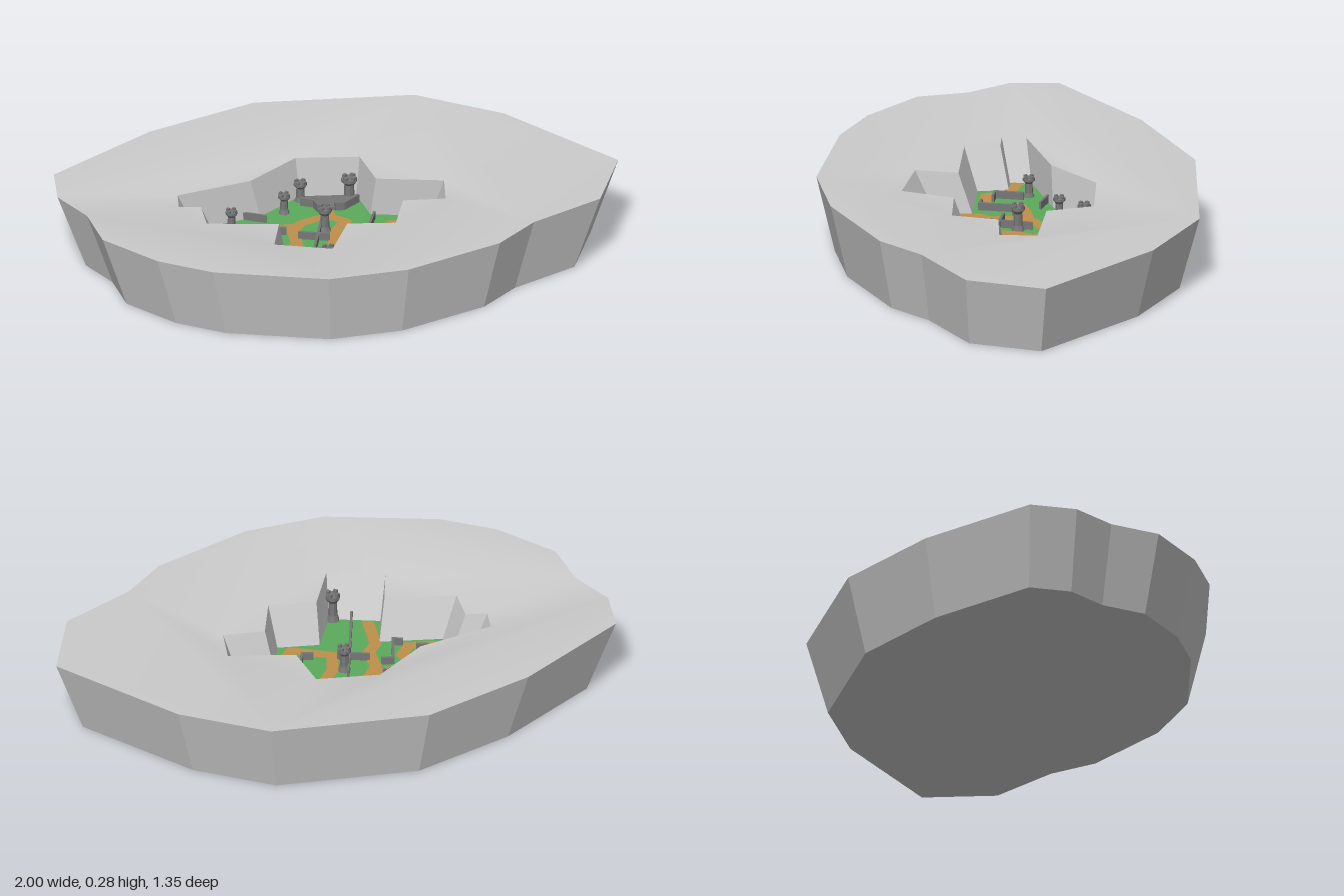
import * as THREE from 'three';

const TOP = 0.275, LIP = 0.235, FLOOR = 0.088;
const mat = (color, extra = {}) => new THREE.MeshStandardMaterial({ color, flatShading: true, ...extra });
const rock = mat(0xcccccc);
const softRock = mat(0xcccccc, { flatShading: false });
const stone = mat(0x777777);
const grass = mat(0x5cab5c);
const dirt = mat(0xbf8f4c, { side: THREE.DoubleSide });

// Plan outlines as [x, z], clockwise seen from above
const RIM = [[-0.2, -0.675], [0.37, -0.64], [0.66, -0.45], [1, -0.04], [0.89, 0.235], [0.63, 0.37],
  [0.485, 0.505], [0.135, 0.648], [-0.155, 0.673], [-0.55, 0.555], [-0.73, 0.44], [-0.895, 0.25],
  [-0.92, 0.065], [-1, -0.09], [-0.985, -0.26], [-0.6, -0.52]];
const PIT = [[-0.11, -0.316], [0.115, -0.288], [0.145, -0.117], [0.38, -0.064], [0.363, 0.07], [0.213, 0.06],
  [0.16, 0.22], [-0.01, 0.198], [-0.092, 0.376], [-0.29, 0.311], [-0.248, 0.161], [-0.5, 0.118],
  [-0.5, -0.01], [-0.577, -0.022], [-0.567, -0.108], [-0.295, -0.172]];
const BASE = RIM.map(([x, z]) => [x * 0.9, z * 0.9 + 0.004]);
const MEADOW = PIT.map(([x, z]) => [x * 0.88, -0.2 + (z + 0.2) * 0.87]);

function mesh(name, geometry, material) {
  const m = new THREE.Mesh(geometry, material);
  m.name = name;
  return m;
}

// Flat face looking up (or down) at height y
function plate(outline, y, hole, down = false) {
  const pts = (o) => o.map(([x, z]) => new THREE.Vector2(x, down ? z : -z));
  const shape = new THREE.Shape(pts(outline));
  if (hole) shape.holes.push(new THREE.Path(pts(hole)));
  return new THREE.ShapeGeometry(shape).rotateX(down ? Math.PI / 2 : -Math.PI / 2).translate(0, y, 0);
}

// Ground that sinks gently from the rim to the lip of the pit
function slopingGround() {
  const g = plate(RIM, TOP, PIT);
  const p = g.attributes.position;
  for (let i = RIM.length; i < p.count; i++) p.setY(i, LIP);
  g.computeVertexNormals();
  return g;
}

// Band of quads joining two outlines; faces inward when the first is the higher
function band(a, ya, b, yb) {
  const p = [];
  a.forEach((a0, i) => {
    const j = (i + 1) % a.length, a1 = a[j], b0 = b[i], b1 = b[j];
    for (const [q, y] of [[a1, ya], [a0, ya], [b0, yb], [a1, ya], [b0, yb], [b1, yb]]) p.push(q[0], y, q[1]);
  });
  const g = new THREE.BufferGeometry();
  g.setAttribute('position', new THREE.Float32BufferAttribute(p, 3));
  g.computeVertexNormals();
  return g;
}

// Flat mitred ribbon along a path
function ribbon(path, width, y) {
  const v = path.map(([x, z]) => new THREE.Vector2(x, z));
  const left = [], right = [];
  v.forEach((p, i) => {
    const d0 = p.clone().sub(v[Math.max(i - 1, 0)]).normalize();
    const d1 = v[Math.min(i + 1, v.length - 1)].clone().sub(p).normalize();
    const d = d0.clone().add(d1).normalize();
    const r = width / 2 / Math.max(0.7, d.dot(i ? d0 : d1));
    left.push([p.x - d.y * r, p.y + d.x * r]);
    right.push([p.x + d.y * r, p.y - d.x * r]);
  });
  return plate([...left, ...right.reverse()], y);
}

// Thin straight walls along a path
function fence(name, path, height, thick) {
  const g = new THREE.Group();
  g.name = name;
  for (let i = 0; i < path.length - 1; i++) {
    const [x0, z0] = path[i], [x1, z1] = path[i + 1];
    const m = mesh('wallSegment', new THREE.BoxGeometry(Math.hypot(x1 - x0, z1 - z0) + thick, height, thick), stone);
    m.position.set((x0 + x1) / 2, FLOOR + height / 2, (z0 + z1) / 2);
    m.rotation.y = -Math.atan2(z1 - z0, x1 - x0);
    g.add(m);
  }
  return g;
}

// Round watchtower with a flared, notched head
function tower(x, z, r, h) {
  const g = new THREE.Group();
  g.name = 'tower';
  const profile = [[0, 0], [0.95, 0], [0.65, 0.2], [0.6, 0.65], [1, 0.78], [1, 0.9], [0, 0.9]]
    .map(([a, b]) => new THREE.Vector2(a * r, b * h));
  g.add(mesh('towerBody', new THREE.LatheGeometry(profile, 8), stone));
  for (let i = 0; i < 4; i++) {
    const a = (i + 0.5) * Math.PI / 2;
    const m = mesh('battlement', new THREE.BoxGeometry(r * 0.55, h * 0.12, r * 0.4), stone);
    m.position.set(Math.sin(a) * r * 0.7, h * 0.94, Math.cos(a) * r * 0.7);
    m.rotation.y = a;
    g.add(m);
  }
  g.position.set(x, FLOOR, z);
  return g;
}

export function createModel() {
  const model = new THREE.Group();
  model.name = 'valley';

  // Rock mass with the sunken valley
  model.add(
    mesh('plateau', slopingGround(), softRock),
    mesh('outerCliff', band(BASE, 0, RIM, TOP), rock),
    mesh('underside', plate(BASE, 0, null, true), rock),
    mesh('valleyWalls', band(PIT, LIP, MEADOW, FLOOR), rock),
    mesh('meadow', plate(MEADOW, FLOOR), grass));

  // Dirt roads
  const roads = [
    [[-0.5, -0.075], [-0.41, -0.03], [-0.39, 0.05], [-0.31, 0.06], [-0.275, 0.01], [-0.29, -0.06],
      [-0.22, -0.075], [-0.14, -0.08]],
    [[-0.21, 0.25], [-0.2, 0.1], [-0.165, 0.055], [-0.165, -0.04], [-0.13, -0.095], [-0.06, -0.125], [-0.02, -0.13]],
    [[-0.02, -0.175], [-0.015, -0.13], [0.03, -0.085], [-0.01, -0.03], [-0.035, 0.065], [0.1, 0.13],
      [0.15, 0.065], [0.13, 0.0], [0.19, -0.045], [0.25, -0.045], [0.27, 0.03]]];
  roads.forEach((path, i) => model.add(mesh('road', ribbon(path, 0.042, FLOOR + 0.002 + i * 0.0005), dirt)));

  // Low dividing walls
  const walls = [
    [[-0.32, -0.165], [-0.25, -0.13]],
    [[-0.345, -0.075], [-0.37, 0.02], [-0.335, 0.03]],
    [[-0.29, 0.075], [-0.26, 0.085], [-0.23, -0.035], [-0.195, -0.03]],
    [[-0.16, 0.285], [-0.1, 0.075], [-0.055, -0.08]],
    [[-0.15, 0.01], [-0.05, 0.04]],
    [[0.04, 0.06], [0.075, 0.07], [0.135, -0.095]]];
  walls.forEach((path) => model.add(fence('dividingWall', path, 0.028, 0.009)));

  // Paved court at the back with a low front wall
  const court = [[-0.1, -0.28], [0.095, -0.26], [0.095, -0.225], [0.04, -0.18], [-0.05, -0.18], [-0.06, -0.215], [-0.1, -0.235]];
  model.add(
    mesh('courtFloor', plate(court, FLOOR + 0.012), stone),
    mesh('courtEdge', band(court, FLOOR, court, FLOOR + 0.012), stone),
    fence('courtWall', [[0.095, -0.225], [0.04, -0.18], [0.015, -0.18]], 0.03, 0.012),
    fence('courtWall', [[-0.03, -0.18], [-0.05, -0.18], [-0.06, -0.215], [-0.1, -0.235]], 0.03, 0.012));

  // Towers
  const towers = [[-0.375, -0.1, 0.022, 0.078], [-0.172, -0.19, 0.022, 0.078], [-0.1, -0.272, 0.024, 0.078],
    [0.072, -0.255, 0.029, 0.092], [-0.052, -0.033, 0.025, 0.1], [-0.094, 0.295, 0.026, 0.115]];
  towers.forEach((t) => model.add(tower(...t)));
  return model;
}
